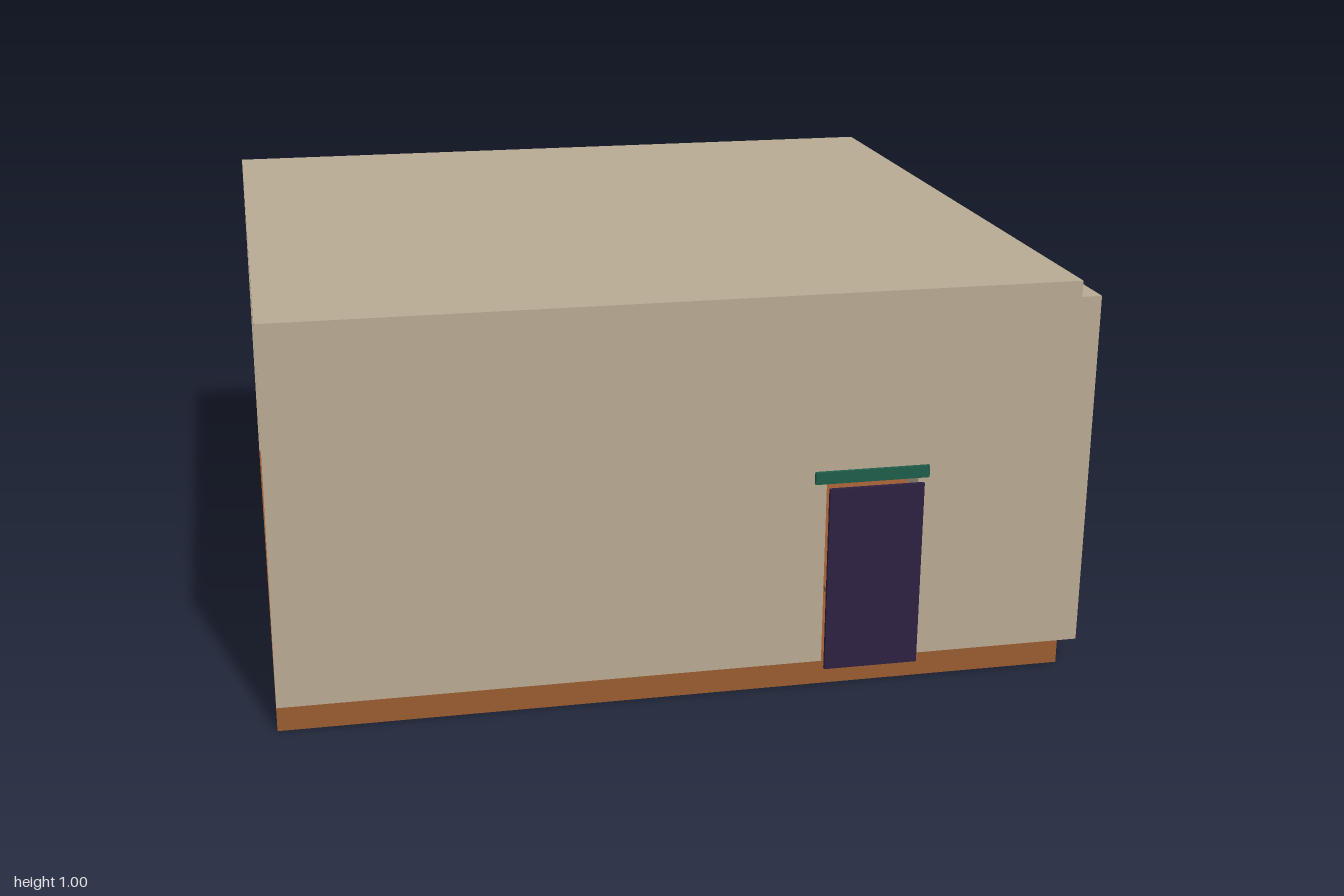
import * as THREE from 'three';

const material = (name, color) => {
  const m = new THREE.MeshStandardMaterial({ color });
  m.name = name;
  return m;
};

export function createModel() {
  const room = new THREE.Group();
  room.name = 'room';
  const plaster = material('beige plaster', 0xb8aa93);
  const wood = material('brown wood', 0x9a5c32);
  const purple = material('dark purple', 0x2d2142);
  const green = material('dark green', 0x1f5c4b);

  // Box given by its lower and upper bounds on each axis
  const box = (name, mat, [x0, x1], [y0, y1], [z0, z1]) => {
    const mesh = new THREE.Mesh(new THREE.BoxGeometry(x1 - x0, y1 - y0, z1 - z0), mat);
    mesh.position.set((x0 + x1) / 2, (y0 + y1) / 2, (z0 + z1) / 2);
    mesh.name = name;
    room.add(mesh);
  };

  const length = [-1, 0.95], depth = [-0.95, 0.9], wallHeight = [0.06, 0.96];
  const inside = [-0.91, 0.86];

  // Shell, open on the -x side
  box('floor', wood, length, [0, 0.06], depth);
  box('ceiling', plaster, length, [0.96, 1], depth);
  box('sideWall', plaster, [0.95, 1], wallHeight, depth);
  box('backWall', plaster, length, wallHeight, [-0.95, -0.91]);

  // Front wall with the doorway cut out
  const wall = new THREE.Shape();
  [[-1, 0.06], [0.33, 0.06], [0.33, 0.53], [0.56, 0.53], [0.56, 0.06],
    [0.95, 0.06], [0.95, 0.96], [-1, 0.96]].forEach(([x, y], i) =>
    i ? wall.lineTo(x, y) : wall.moveTo(x, y));
  const frontWall = new THREE.Mesh(
    new THREE.ExtrudeGeometry(wall, { depth: 0.04, bevelEnabled: false }), plaster);
  frontWall.position.z = 0.86;
  frontWall.name = 'frontWall';
  room.add(frontWall);

  // Door panel standing clear of the wall, with a lintel above
  box('door', purple, [0.325, 0.56], [0.06, 0.53], [0.937, 0.947]);
  box('lintel', green, [0.3, 0.585], [0.53, 0.56], [0.9, 0.91]);

  // Low strips running across the floor
  [0.47, 0.22, -0.02].forEach((x) =>
    box('floorStrip', wood, [x - 0.01, x + 0.01], [0.06, 0.075], inside));
  box('floorEdgeStrip', green, [-0.25, -0.23], [0.06, 0.08], inside);

  return room;
}
